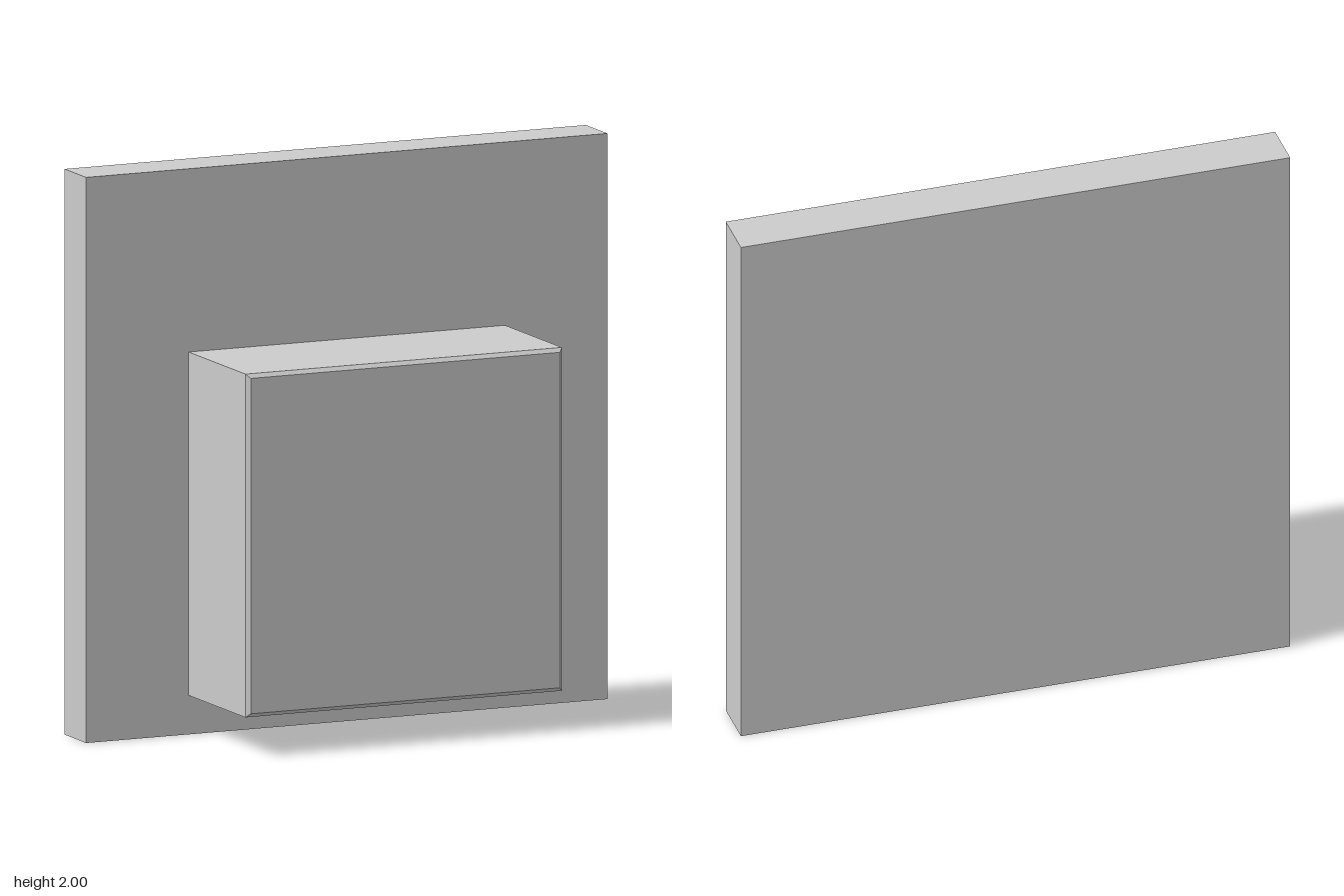
import * as THREE from 'three';

export function createModel() {
  const group = new THREE.Group();
  const material = new THREE.MeshStandardMaterial({ color: 0xcccccc, flatShading: true });

  // Square back plate
  const plateFront = -0.152, plateBack = -0.33;
  const plate = new THREE.Mesh(new THREE.BoxGeometry(2, 2, plateFront - plateBack), material);
  plate.name = 'backPlate';
  plate.position.set(0, 1, (plateFront + plateBack) / 2);
  group.add(plate);

  // Square block with a small chamfer round its front face; the rear chamfer sits inside the plate
  const half = 0.607, chamfer = 0.014, blockFront = 0.33;
  const outline = new THREE.Shape([
    new THREE.Vector2(-half, -half),
    new THREE.Vector2(half, -half),
    new THREE.Vector2(half, half),
    new THREE.Vector2(-half, half),
  ]);
  const blockGeometry = new THREE.ExtrudeGeometry(outline, {
    depth: blockFront - chamfer - plateFront,
    bevelEnabled: true,
    bevelSegments: 1,
    bevelThickness: chamfer,
    bevelSize: chamfer,
    bevelOffset: -chamfer,
  });
  const block = new THREE.Mesh(blockGeometry, material);
  block.name = 'frontBlock';
  block.position.set(0, 0.745, plateFront);
  group.add(block);

  return group;
}
